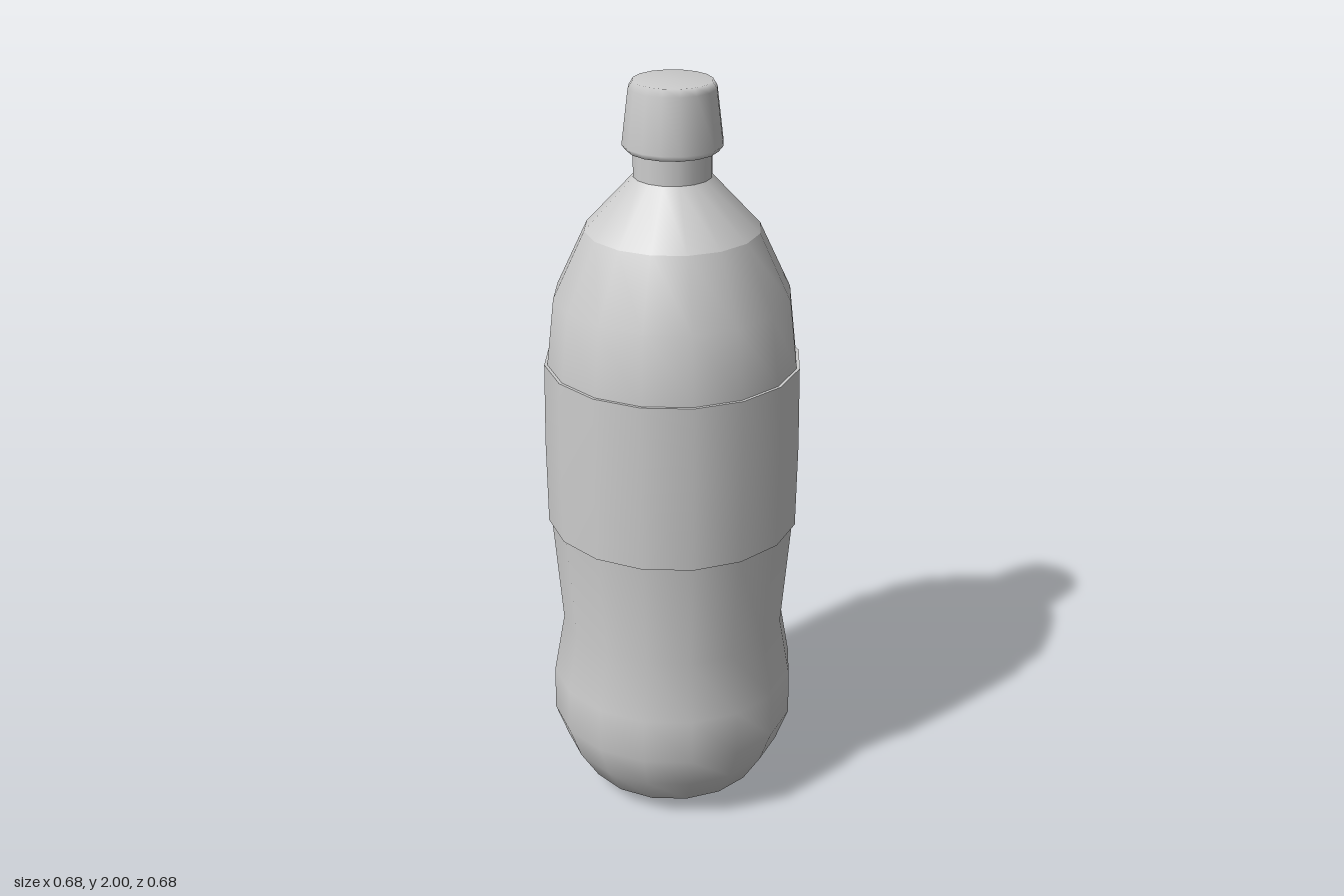
import * as THREE from 'three';

const SIDES = 16;

export function createModel() {
  const model = new THREE.Group();
  model.name = 'bottle';
  const grey = new THREE.MeshStandardMaterial({ color: 0xcccccc });
  grey.name = 'plain grey';

  // Turns a profile of [radius, height] points; edges between parts stay sharp
  const turn = (name, profile) => {
    const points = profile.map(([r, y]) => new THREE.Vector2(r, y));
    const mesh = new THREE.Mesh(new THREE.LatheGeometry(points, SIDES), grey);
    mesh.name = name;
    model.add(mesh);
  };

  // Rounded base, pinched waist and lower shoulder
  turn('body', [
    [0, 0], [0.14, 0.005], [0.245, 0.05], [0.298, 0.135], [0.333, 0.23], [0.331, 0.355],
    [0.302, 0.52], [0.327, 0.82], [0.333, 1.05], [0.327, 1.27], [0.307, 1.45], [0.225, 1.625],
  ]);
  // Conical upper shoulder
  turn('shoulder', [[0.225, 1.625], [0.1, 1.76]]);
  turn('neck', [[0.1, 1.76], [0.1, 1.83]]);

  // Wrapped label with its two thin rims
  turn('label', [[0.335, 0.82], [0.338, 1.05], [0.335, 1.27]]);
  turn('labelLowerRim', [[0.325, 0.82], [0.335, 0.82]]);
  turn('labelUpperRim', [[0.335, 1.27], [0.325, 1.27]]);

  // Tapered screw cap
  turn('capUnderside', [[0.095, 1.827], [0.116, 1.827]]);
  turn('cap', [[0.116, 1.827], [0.128, 1.842], [0.111, 1.982], [0.1, 2], [0, 2]]);

  return model;
}
